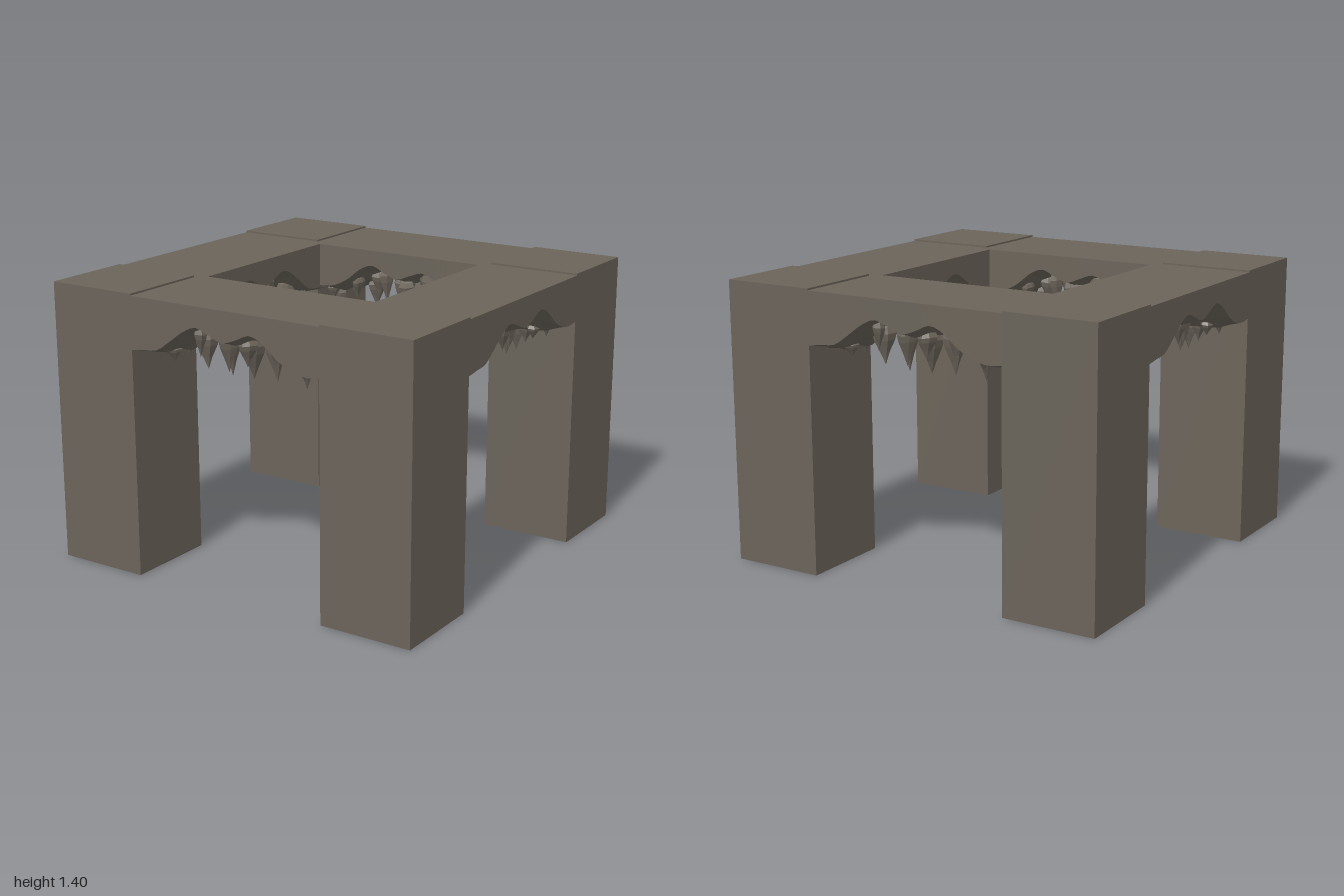
import * as THREE from 'three';

const stone = new THREE.MeshStandardMaterial({ color: 0x6b645a, flatShading: true });
stone.name = 'brown grey stone';

const HALF = 0.53;   // half the opening between pillars
const INNER = 0.48;  // inner edge of the beams
const TOP = 1.388;

// Double-humped arch edge, evenly spaced across the opening
const archHeights = [1.13, 1.14, 1.15, 1.2, 1.255, 1.288, 1.265, 1.238,
  1.262, 1.293, 1.265, 1.205, 1.165, 1.15, 1.157];
const arch = new THREE.SplineCurve(archHeights.map((y, i) =>
  new THREE.Vector2(-HALF + (2 * HALF * i) / (archHeights.length - 1), y)));

// Height of the rough, sagging underside of a beam
function underside(x, z) {
  const u = THREE.MathUtils.clamp((x + HALF) / (2 * HALF), 0, 1);
  const t = THREE.MathUtils.clamp((1 - z) / (1 - INNER), 0, 1);
  const bulge = Math.sin(Math.PI * t);
  const rough = 0.014 * Math.sin(x * 23 + z * 9) * Math.cos(z * 31 - x * 6);
  return arch.getPoint(u).y + 0.015 * t + bulge * (rough - 0.05);
}

function beamGeometry() {
  const depth = 1 - INNER;
  const geo = new THREE.BoxGeometry(2 * HALF, 1, depth, 36, 1, 10);
  geo.translate(0, 0, INNER + depth / 2);
  const p = geo.attributes.position;
  for (let i = 0; i < p.count; i++) {
    p.setY(i, p.getY(i) > 0 ? TOP : underside(p.getX(i), p.getZ(i)));
  }
  geo.computeVertexNormals();
  return geo;
}

// Faceted hanging spike: narrow neck, wide belly, pointed tip
function spikeGeometry(radius, height, seed) {
  const profile = [[0, 0], [0.36, 0.28], [0.85, 0.58], [1, 0.74], [0.8, 0.9], [0.55, 1]]
    .map(([r, y]) => new THREE.Vector2(r * radius, y * height));
  const geo = new THREE.LatheGeometry(profile, 7);
  const p = geo.attributes.position;
  for (let i = 0; i < p.count; i++) {
    const a = Math.atan2(p.getZ(i), p.getX(i));
    const k = 1 + 0.16 * Math.sin(2 * a + seed) + 0.1 * Math.sin(3 * a + seed * 2.3);
    p.setXYZ(i, p.getX(i) * k, p.getY(i) + 0.12 * radius * Math.sin(a + seed) * (p.getY(i) > 0 ? 1 : 0),
      p.getZ(i) * k);
  }
  geo.computeVertexNormals();
  return geo;
}

// Spikes of one beam: x, z, tip height, radius
const spikes = [
  [-0.5, 0.78, 1.06, 0.03], [-0.46, 0.66, 1.04, 0.035], [-0.4, 0.84, 1.06, 0.035],
  [-0.34, 0.7, 1.08, 0.045], [-0.3, 0.58, 1.07, 0.045], [-0.25, 0.78, 1.03, 0.05],
  [-0.17, 0.7, 0.99, 0.05], [-0.2, 0.9, 1.12, 0.035], [-0.13, 0.58, 1.08, 0.045],
  [-0.09, 0.83, 1.05, 0.045], [-0.03, 0.72, 1.0, 0.065], [0.0, 0.58, 1.09, 0.05],
  [0.04, 0.86, 1.1, 0.045], [0.09, 0.7, 1.0, 0.05], [0.13, 0.6, 1.08, 0.04],
  [0.18, 0.82, 1.07, 0.05], [0.22, 0.66, 1.1, 0.045], [0.29, 0.75, 1.01, 0.045],
  [0.3, 0.58, 1.1, 0.04], [0.37, 0.68, 1.06, 0.035], [0.35, 0.86, 1.09, 0.035],
  [0.43, 0.78, 1.04, 0.035], [0.49, 0.7, 0.98, 0.035], [0.5, 0.86, 1.07, 0.025],
  [0.46, 0.58, 1.07, 0.03], [-0.42, 0.57, 1.08, 0.03],
];

export function createModel() {
  const model = new THREE.Group();
  model.name = 'stoneCanopy';

  // Corner pillars
  const size = 1 - HALF + 0.003;
  const pillarGeo = new THREE.BoxGeometry(size, 1.397, size);
  for (const sx of [-1, 1]) {
    for (const sz of [-1, 1]) {
      const pillar = new THREE.Mesh(pillarGeo, stone);
      pillar.name = 'pillar';
      pillar.position.set(sx * (1 - size / 2), 1.397 / 2, sz * (1 - size / 2));
      model.add(pillar);
    }
  }

  // Four identical eroded beams with hanging spikes
  const beamGeo = beamGeometry();
  const spikeGeos = spikes.map(([x, z, tip, r], i) =>
    spikeGeometry(r, underside(x, z) + 0.025 - tip, i * 1.7));
  for (let side = 0; side < 4; side++) {
    const span = new THREE.Group();
    span.name = 'archSpan';
    span.rotation.y = (side * Math.PI) / 2;
    const beam = new THREE.Mesh(beamGeo, stone);
    beam.name = 'beam';
    span.add(beam);
    spikes.forEach(([x, z, tip], i) => {
      const spike = new THREE.Mesh(spikeGeos[i], stone);
      spike.name = 'stalactite';
      spike.position.set(x, tip, z);
      span.add(spike);
    });
    model.add(span);
  }
  return model;
}
